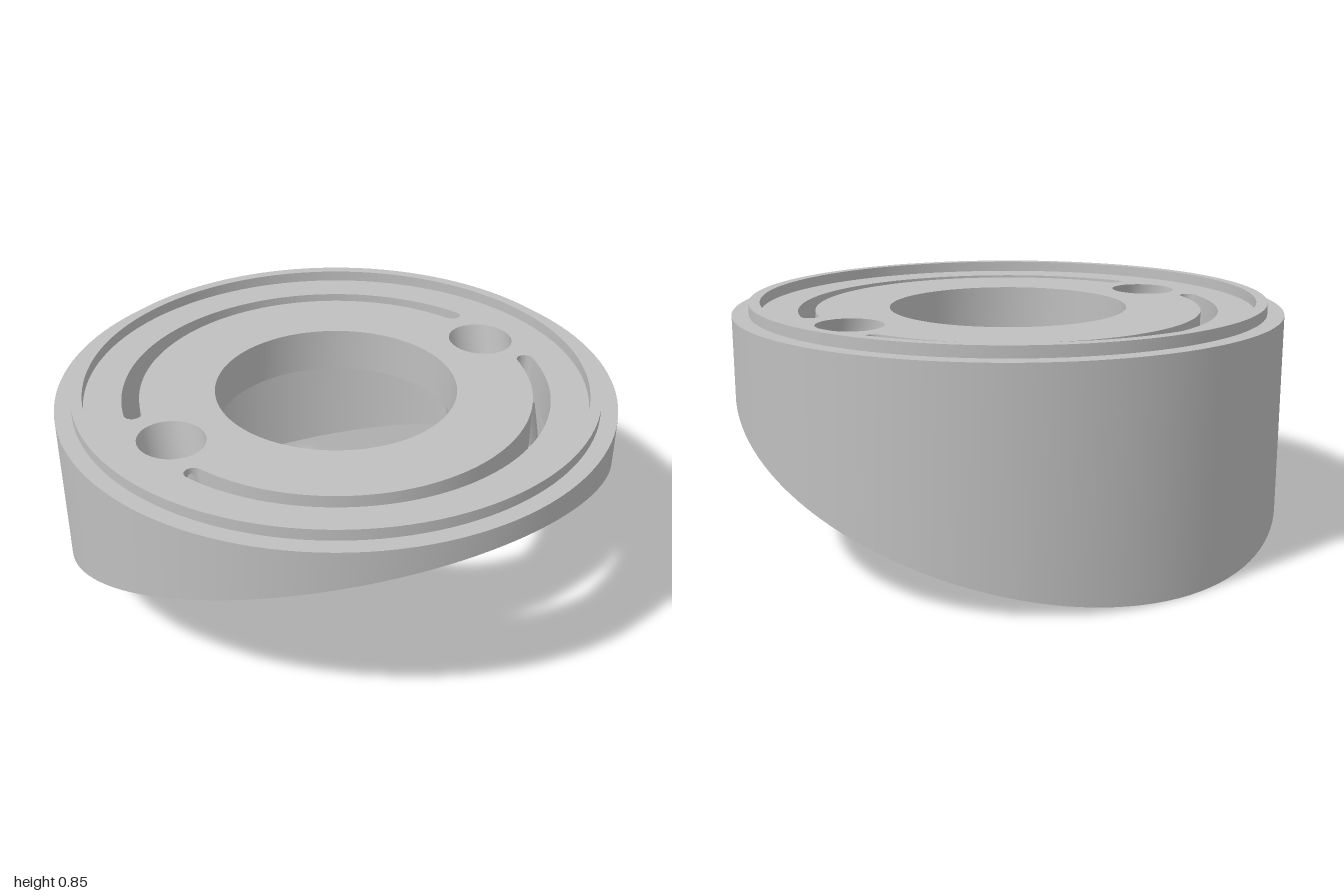
import * as THREE from 'three';

const TILT = THREE.MathUtils.degToRad(20);
const TOP = 0.81, RIM_TOP = 0.85, CEILING = 0.645;
const BODY_R = 1, RIM_OUT = 0.94, RIM_IN = 0.9, CAVITY_R = 0.8, HOLE_R = 0.435;
const BOSS_X = 0.665, BOSS_R = 0.175, BORE_R = 0.117, SCREW_R = 0.064;
const slant = (z) => 0.365 + 0.365 * z; // the angled underside
const CHORD = (CEILING - 0.365) / 0.365; // where the ceiling meets the underside

// Points along an arc, as (x, z) pairs
function arc(cx, cz, r, a0, a1, n) {
  return Array.from({ length: n + 1 }, (_, i) => {
    const a = a0 + (a1 - a0) * i / n;
    return new THREE.Vector2(cx + r * Math.cos(a), cz + r * Math.sin(a));
  });
}
const circle = (r) => arc(0, 0, r, 0, Math.PI * 2, 128).slice(0, -1);

// Lifts (x, z) points to a fixed height or to a height that depends on z
const lift = (pts, h) => pts.map((p) =>
  new THREE.Vector3(p.x, typeof h === 'function' ? h(p.y) : h, p.y));

// Closed band between two rings with the same number of points
function loft(a, b) {
  const n = a.length, index = [];
  for (let i = 0; i < n; i++) {
    const j = (i + 1) % n;
    index.push(i, n + i, j, n + i, n + j, j);
  }
  const g = new THREE.BufferGeometry().setFromPoints([...a, ...b]);
  g.setIndex(index);
  g.computeVertexNormals();
  return g;
}

// Flat face with holes, laid at a height
function face(outline, holes, h, up) {
  const shape = new THREE.Shape(outline);
  shape.holes = holes.map((pts) => new THREE.Path(pts));
  const g = new THREE.ShapeGeometry(shape);
  const p = g.attributes.position;
  for (let i = 0; i < p.count; i++) {
    const z = p.getY(i);
    p.setXYZ(i, p.getX(i), typeof h === 'function' ? h(z) : h, z);
  }
  if (up) g.setIndex(Array.from(g.index.array).reverse());
  g.computeVertexNormals();
  return g;
}

// Curved slot outline with round ends
function slot(turn) {
  const mid = 0.735, w = 0.031, end = THREE.MathUtils.degToRad(17.5);
  const a0 = turn + end, a1 = turn + Math.PI - end;
  const cap = (a, start) => arc(mid * Math.cos(a), mid * Math.sin(a), w, start, start + Math.PI, 10).slice(1, -1);
  return [
    ...arc(0, 0, mid + w, a0, a1, 64), ...cap(a1, a1),
    ...arc(0, 0, mid - w, a1, a0, 64), ...cap(a0, a0 + Math.PI),
  ];
}

// Tilted screw axis: z of the axis at height y
const axisZ = (y) => (TOP - y) * Math.tan(TILT);
// Section of a tilted cylinder by a level plane
const levelSection = (x, r, y) => arc(0, 0, r, 0, Math.PI * 2, 48).slice(0, -1)
  .map((p) => new THREE.Vector2(x + p.x, axisZ(y) + p.y / Math.cos(TILT)));
// Section square to the tilted axis
const squareSection = (x, r, y) => arc(0, 0, r, 0, Math.PI * 2, 48).slice(0, -1)
  .map((p) => new THREE.Vector3(x + p.x, y + p.y * Math.sin(TILT), axisZ(y) + p.y * Math.cos(TILT)));

export function createModel() {
  const model = new THREE.Group();
  model.name = 'angledMount';
  const grey = new THREE.MeshStandardMaterial({ color: 0xbfbfbf, side: THREE.DoubleSide });
  grey.name = 'plain grey';
  const add = (name, geometry, parent = model) => {
    const mesh = new THREE.Mesh(geometry, grey);
    mesh.name = name;
    parent.add(mesh);
  };

  const slots = [slot(0), slot(Math.PI)];
  const body = circle(BODY_R), rimOut = circle(RIM_OUT), rimIn = circle(RIM_IN), hole = circle(HOLE_R);

  // Cavity outline: a circle cut flat at the thin front
  const cut = Math.asin(CHORD / CAVITY_R);
  const cavity = arc(0, 0, CAVITY_R, Math.PI - cut, Math.PI * 2 + cut, 120);

  // Outer body and raised rim
  add('outerWall', loft(lift(body, slant), lift(body, TOP)));
  add('ledge', loft(lift(body, TOP), lift(rimOut, TOP)));
  add('rimOuterWall', loft(lift(rimOut, TOP), lift(rimOut, RIM_TOP)));
  add('rimTop', loft(lift(rimOut, RIM_TOP), lift(rimIn, RIM_TOP)));
  add('rimInnerWall', loft(lift(rimIn, RIM_TOP), lift(rimIn, TOP)));

  // Plate with its openings, cavity and sloping underside
  const sides = [-1, 1].map((s) => s * BOSS_X);
  add('plateTop', face(rimIn, [hole, ...slots, ...sides.map((x) => levelSection(x, BORE_R, TOP))], TOP, true));
  add('plateBottom', face(cavity, [hole, ...slots, ...sides.map((x) => levelSection(x, SCREW_R, CEILING))], CEILING, false));
  add('centreHoleWall', loft(lift(hole, TOP), lift(hole, CEILING)));
  slots.forEach((s, i) => add(i ? 'backSlotWall' : 'frontSlotWall', loft(lift(s, TOP), lift(s, CEILING))));
  add('cavityWall', loft(lift(cavity, CEILING), lift(cavity, slant)));
  add('underside', face(body, [cavity], slant, false));

  // Tilted screw bosses with counterbored holes
  const floorY = 0.7, endY = 0.418;
  for (const x of sides) {
    const boss = new THREE.Group();
    boss.name = x > 0 ? 'leftScrewBoss' : 'rightScrewBoss';
    model.add(boss);
    const end = squareSection(x, BOSS_R, endY), endHole = squareSection(x, SCREW_R, endY);
    const floor = squareSection(x, BORE_R, floorY), floorHole = squareSection(x, SCREW_R, floorY);
    add('bossWall', loft(end, lift(levelSection(x, BOSS_R, TOP - 0.005), TOP - 0.005)), boss);
    add('bossEnd', loft(endHole, end), boss);
    add('counterboreWall', loft(lift(levelSection(x, BORE_R, TOP), TOP), floor), boss);
    add('counterboreFloor', loft(floor, floorHole), boss);
    add('screwHoleWall', loft(floorHole, endHole), boss);
  }
  return model;
}
